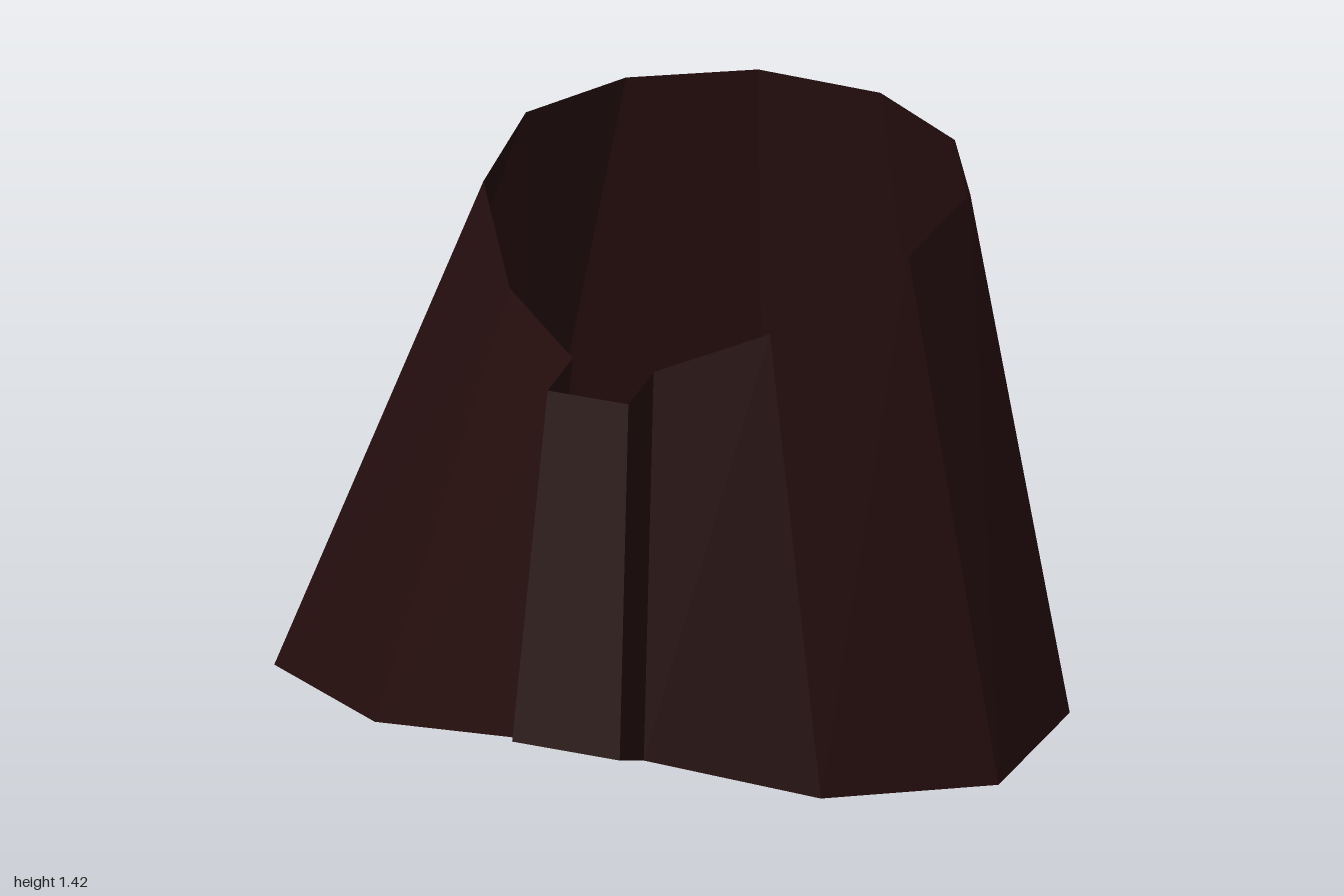
import * as THREE from 'three';

// Matching loops of the flared sleeve: [x, y, z] clockwise from the back.
// The two furthest-forward points in each form the raised front placket.
const HEM = [
  [0.11, 0, -0.95], [0.57, 0, -0.83], [0.88, 0, -0.52], [1, 0, -0.08],
  [0.88, 0, 0.35], [0.48, 0.1, 0.69], [0.05, 0.23, 0.8],
  [0.01, 0.3, 0.95], [-0.27, 0.3, 0.88], [-0.24, 0.23, 0.72],
  [-0.68, 0.1, 0.41], [-1, 0, -0.08], [-0.88, 0, -0.52], [-0.46, 0, -0.83],
];
const RIM = [
  [0.13, 1.42, -0.71], [0.45, 1.42, -0.62], [0.67, 1.42, -0.38], [0.75, 1.42, -0.08],
  [0.64, 1.4, 0.25], [0.33, 1.3, 0.53], [0.05, 1.22, 0.62],
  [0.01, 1.21, 0.79], [-0.2, 1.21, 0.74], [-0.16, 1.22, 0.57],
  [-0.35, 1.29, 0.34], [-0.47, 1.39, -0.05], [-0.41, 1.42, -0.39], [-0.19, 1.42, -0.62],
];

// Faceted geometry from a list of corner points, three per triangle
function facets(corners) {
  const geometry = new THREE.BufferGeometry();
  geometry.setAttribute('position', new THREE.Float32BufferAttribute(corners.flat(), 3));
  geometry.computeVertexNormals();
  return geometry;
}

export function createModel() {
  const group = new THREE.Group();
  group.name = 'flaredSleeve';

  const cloth = new THREE.MeshStandardMaterial({ color: 0x260e0e, side: THREE.DoubleSide, flatShading: true });
  cloth.name = 'dark maroon cloth';

  function add(name, corners) {
    const mesh = new THREE.Mesh(facets(corners), cloth);
    mesh.name = name;
    group.add(mesh);
  }

  // Side panels, open at the top; the three placket panels are kept apart
  const body = [];
  const placket = [];
  HEM.forEach((a, i) => {
    const j = (i + 1) % HEM.length;
    const b = HEM[j];
    const panel = i >= 6 && i <= 8 ? placket : body;
    panel.push(a, RIM[i], b, b, RIM[i], RIM[j]);
  });
  add('sleeveWall', body);
  add('frontPlacket', placket);

  // Closed underside, rising towards the front
  const outline = HEM.map(([x, , z]) => new THREE.Vector2(x, z));
  const underside = [];
  for (const [a, b, c] of THREE.ShapeUtils.triangulateShape(outline, [])) {
    underside.push(HEM[a], HEM[b], HEM[c]);
  }
  add('underside', underside);

  return group;
}
